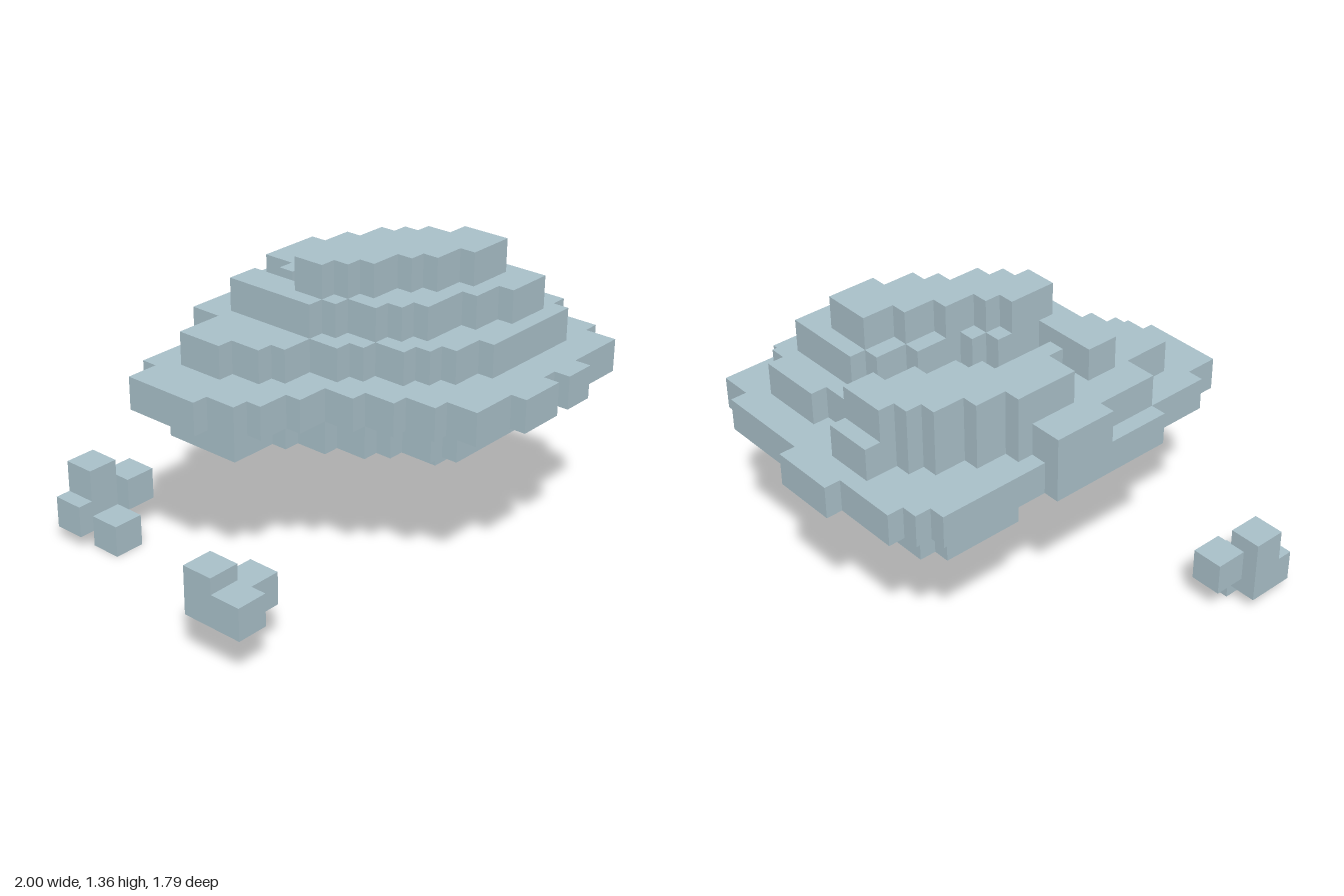
import * as THREE from 'three';

// All sizes are in blocks; one block is 1/14 unit.
const U = 1 / 14;

const stone = new THREE.MeshStandardMaterial({ color: 0xa9c0c9 });
stone.name = 'paleBlueGrey';

// Turns a line through [x, z] keys into block steps, one row of blocks per whole z.
function stairs(keys) {
  const points = [];
  const add = (x, z) => points.push(new THREE.Vector2(x * U, -z * U));
  const end = keys[keys.length - 1][1];
  let last, k = 0;
  for (let z = keys[0][1]; z <= end; z++) {
    while (k < keys.length - 2 && keys[k + 1][1] < z) k++;
    const [xa, za] = keys[k], [xb, zb] = keys[k + 1];
    const x = Math.round(xa + (xb - xa) * (z - za) / (zb - za));
    if (x === last) continue;
    if (points.length) add(last, z - 0.5);
    add(x, z - 0.5);
    last = x;
  }
  add(last, end + 0.5);
  return points;
}

// Layer two blocks high between a stepped left and right edge.
function slab(name, y, left, right) {
  const shape = new THREE.Shape([...stairs(left), ...stairs(right).reverse()]);
  const geometry = new THREE.ExtrudeGeometry(shape, { depth: 2 * U, bevelEnabled: false });
  geometry.rotateX(-Math.PI / 2).translate(0, y * U, 0);
  const mesh = new THREE.Mesh(geometry, stone);
  mesh.name = name;
  return mesh;
}

// Box from its size and centre.
function block(name, [w, h, d], [x, y, z]) {
  const mesh = new THREE.Mesh(new THREE.BoxGeometry(w * U, h * U, d * U), stone);
  mesh.position.set(x * U, y * U, z * U);
  mesh.name = name;
  return mesh;
}

// Loose fragment made of two-block cubes.
function fragment(name, centres) {
  const group = new THREE.Group();
  group.name = name;
  for (const c of centres) group.add(block('fragmentCube', [2, 2, 2], c));
  return group;
}

export function createModel() {
  const model = new THREE.Group();
  model.name = 'floatingRock';
  const body = new THREE.Group();
  body.name = 'mainRock';
  model.add(body);

  // underside
  body.add(
    slab('lowerKeel', 7, [[4, 2], [4, 3], [2, 4], [2, 6]], [[7, 2], [10, 3], [10, 5], [7, 6]]),
    block('lowerKnob', [3, 1, 1], [1.5, 8.5, 0]),
    block('lowerKnob', [1, 1, 3], [1.5, 8.5, 0]),
    slab('lowerSlab', 9,
      [[5, -5], [-8, -4], [-8, 0], [-5, 1], [-0.2, 9]],
      [[10, -5], [11, -4], [11, 2], [10, 3], [9.4, 9]]),
  );

  // widest rim with two teeth at the front
  body.add(
    slab('rim', 11,
      [[-4, -7], [-8, -6], [-10, -5], [-10, -1], [-8, 2], [-4, 4], [-1, 11]],
      [[4, -7], [11, -6], [13, -4], [14, 3], [13, 4], [12.4, 11]]),
    block('rimTooth', [3, 2, 1], [3.5, 12, 12]),
    block('rimTooth', [2, 2, 1], [7, 12, 12]),
  );

  // terrace with a nub on its side
  body.add(
    slab('upperTerrace', 13,
      [[0, -7], [-4, -6], [-4, -5], [-7, -4], [-7, -2], [-5, 1], [-3.4, 2], [0.9, 8], [3, 9]],
      [[4, -7], [4.6, -5], [9, -3], [10, -2], [10, 4], [11, 5], [11, 8], [10, 9]]),
    block('terraceNub', [2, 2, 3], [11, 14, 0]),
  );

  // diagonal ridges and crest
  body.add(
    slab('centreRidge', 15,
      [[-3, -4], [-3, 1], [1, 6], [6.2, 8]],
      [[-1, -4], [-1, -1], [2, 0], [3, 1], [8.2, 3], [9, 4], [9, 8]]),
    slab('backRidge', 15,
      [[1, -5], [1, -4], [0, -3], [3.6, -2], [9, 1]],
      [[5, -5], [9, -3], [11, -1], [11, 1]]),
    slab('crest', 17,
      [[-2, 0], [-2.3, 1], [4.6, 6]],
      [[1, 0], [2, 1], [8, 4], [8, 6]]),
  );

  // small loose pieces
  model.add(
    fragment('backFragment',
      [[-8, 2, -11.5], [-8, 4, -11.5], [-9, 2, -11.5], [-6, 3, -10.5], [-8, 1, -9.5]]),
    fragment('sideFragment',
      [[-13, 4, 3.5], [-13, 5, 3.5], [-13, 4, 5.5], [-11, 4, 4.5]]),
  );
  return model;
}
